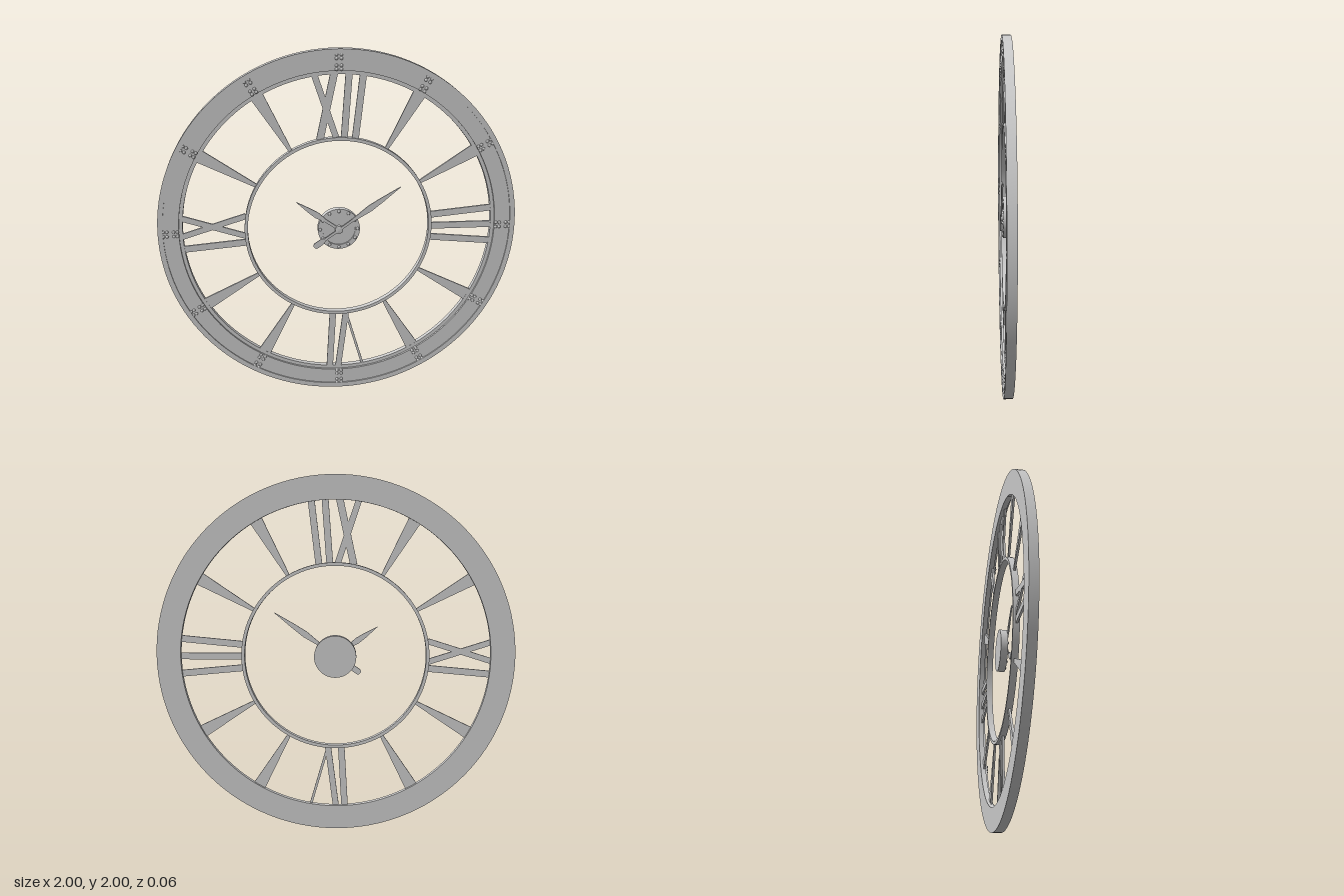
import * as THREE from 'three';
import { toCreasedNormals } from 'three/addons/utils/BufferGeometryUtils.js';

export function createModel() {
  const model = new THREE.Group();
  const clock = new THREE.Group();
  clock.name = 'wallClock';
  clock.position.y = 1;
  model.add(clock);
  const metal = new THREE.MeshStandardMaterial({ color: 0xcccccc });

  function add(name, geometry, parent = clock) {
    const mesh = new THREE.Mesh(geometry, metal);
    mesh.name = name;
    parent.add(mesh);
    return mesh;
  }

  // Turned part: [radius, z] profile, counter-clockwise, axis along z
  function turned(name, profile, segments = 96) {
    const points = profile.map(([r, z]) => new THREE.Vector2(r, z));
    const geometry = new THREE.LatheGeometry(points, segments).rotateX(Math.PI / 2);
    return add(name, toCreasedNormals(geometry, 0.5));
  }

  // Flat outline extruded between two depths
  function plate(name, outline, z0, z1, parent) {
    const shape = new THREE.Shape(outline.map(([x, y]) => new THREE.Vector2(x, y)));
    const geometry = new THREE.ExtrudeGeometry(shape, { depth: z1 - z0, bevelEnabled: false });
    return add(name, geometry.translate(0, 0, z0), parent);
  }

  // Straight bar from a to b with a width at each end
  function bar(name, a, b, wa, wb, parent) {
    const dx = b[0] - a[0], dy = b[1] - a[1], len = Math.hypot(dx, dy);
    const nx = -dy / len / 2, ny = dx / len / 2;
    return plate(name, [
      [a[0] - nx * wa, a[1] - ny * wa], [b[0] - nx * wb, b[1] - ny * wb],
      [b[0] + nx * wb, b[1] + ny * wb], [a[0] + nx * wa, a[1] + ny * wa],
    ], -0.012, 0.0, parent);
  }

  // Outer ring with raised rim, recessed face and inner ledge
  turned('outerRing', [
    [0.865, -0.029], [1, -0.029], [1, 0.02], [0.972, 0.02], [0.972, 0.013],
    [0.885, 0.013], [0.885, 0.001], [0.865, 0.001], [0.865, -0.029],
  ], 128);

  // Inner ring
  turned('innerRing', [
    [0.507, -0.026], [0.525, -0.026], [0.525, 0.01], [0.507, 0.01], [0.507, -0.026],
  ]);

  // Numeral bars, as [inner end, outer end, inner width, outer width]
  const numerals = {
    twelve: [
      [[-0.012, 0.515], [-0.132, 0.87], 0.034, 0.034],
      [[-0.102, 0.512], [-0.022, 0.88], 0.04, 0.04],
      [[0.03, 0.518], [0.056, 0.88], 0.037, 0.037],
      [[0.09, 0.512], [0.132, 0.87], 0.037, 0.037],
    ],
    three: [
      [[0.515, 0.066], [0.872, 0.1], 0.037, 0.037],
      [[0.515, 0], [0.875, 0], 0.037, 0.037],
      [[0.515, -0.066], [0.872, -0.1], 0.037, 0.037],
    ],
    six: [
      [[-0.034, -0.515], [-0.054, -0.875], 0.037, 0.037],
      [[0.042, -0.515], [-0.004, -0.875], 0.034, 0.034],
      [[0.04, -0.515], [0.142, -0.868], 0.014, 0.014],
    ],
    nine: [
      [[-0.515, -0.03], [-0.872, 0.085], 0.032, 0.032],
      [[-0.515, 0.088], [-0.875, -0.025], 0.032, 0.032],
      [[-0.515, -0.066], [-0.872, -0.098], 0.037, 0.037],
    ],
  };
  for (const [hour, bars] of Object.entries(numerals)) {
    const group = new THREE.Group();
    group.name = hour + 'Numeral';
    clock.add(group);
    for (const [a, b, wa, wb] of bars) bar('numeralBar', a, b, wa, wb, group);
  }

  // Hour wedges between the numerals, and rivets at every hour
  const rivet = new THREE.SphereGeometry(0.009, 10, 6).scale(1, 1, 0.8);
  for (let i = 0; i < 12; i++) {
    const hour = new THREE.Group();
    hour.name = 'hourMark';
    hour.rotation.z = -i * Math.PI / 6;
    clock.add(hour);
    if (i % 3) bar('hourWedge', [0, 0.515], [0, 0.875], 0.018, 0.072, hour);
    for (const r of [0.903, 0.96]) {
      for (const [x, y] of [[-1, -1], [1, -1], [-1, 1], [1, 1]]) {
        add('rivet', rivet, hour).position.set(x * 0.013, r + y * 0.01, 0.014);
      }
    }
  }

  // Hub with stepped face, studs and centre cap
  turned('hub', [
    [0, -0.028], [0.118, -0.028], [0.118, 0.012], [0.092, 0.012],
    [0.092, 0.005], [0, 0.005],
  ], 48);
  turned('centreCap', [[0.022, 0], [0.022, 0.026], [0.014, 0.028], [0, 0.028]], 24);
  for (let i = 0; i < 12; i++) {
    const t = i * Math.PI / 6;
    add('hubStud', rivet).position.set(0.105 * Math.sin(t), 0.105 * Math.cos(t), 0.012);
  }

  // Leaf hand along +y, given half widths at [y, halfWidth] stations
  function hand(name, angle, stations, z0, z1) {
    const right = stations.map(([y, w]) => [w, y]);
    const left = stations.slice().reverse().map(([y, w]) => [-w, y]);
    plate(name, [...right, ...left], z0, z1).rotation.z = angle;
  }
  hand('hourHand', Math.atan2(0.235, 0.165),
    [[0, 0.007], [0.09, 0.008], [0.15, 0.017], [0.2, 0.013], [0.287, 0.001]], 0.01, 0.018);
  hand('minuteHand', -Math.atan2(0.342, 0.242), [
    [-0.172, 0.006], [-0.168, 0.013], [-0.158, 0.017], [-0.115, 0.016], [-0.095, 0.007],
    [0.08, 0.007], [0.13, 0.011], [0.21, 0.018], [0.29, 0.013], [0.418, 0.001],
  ], 0.019, 0.027);

  return model;
}
